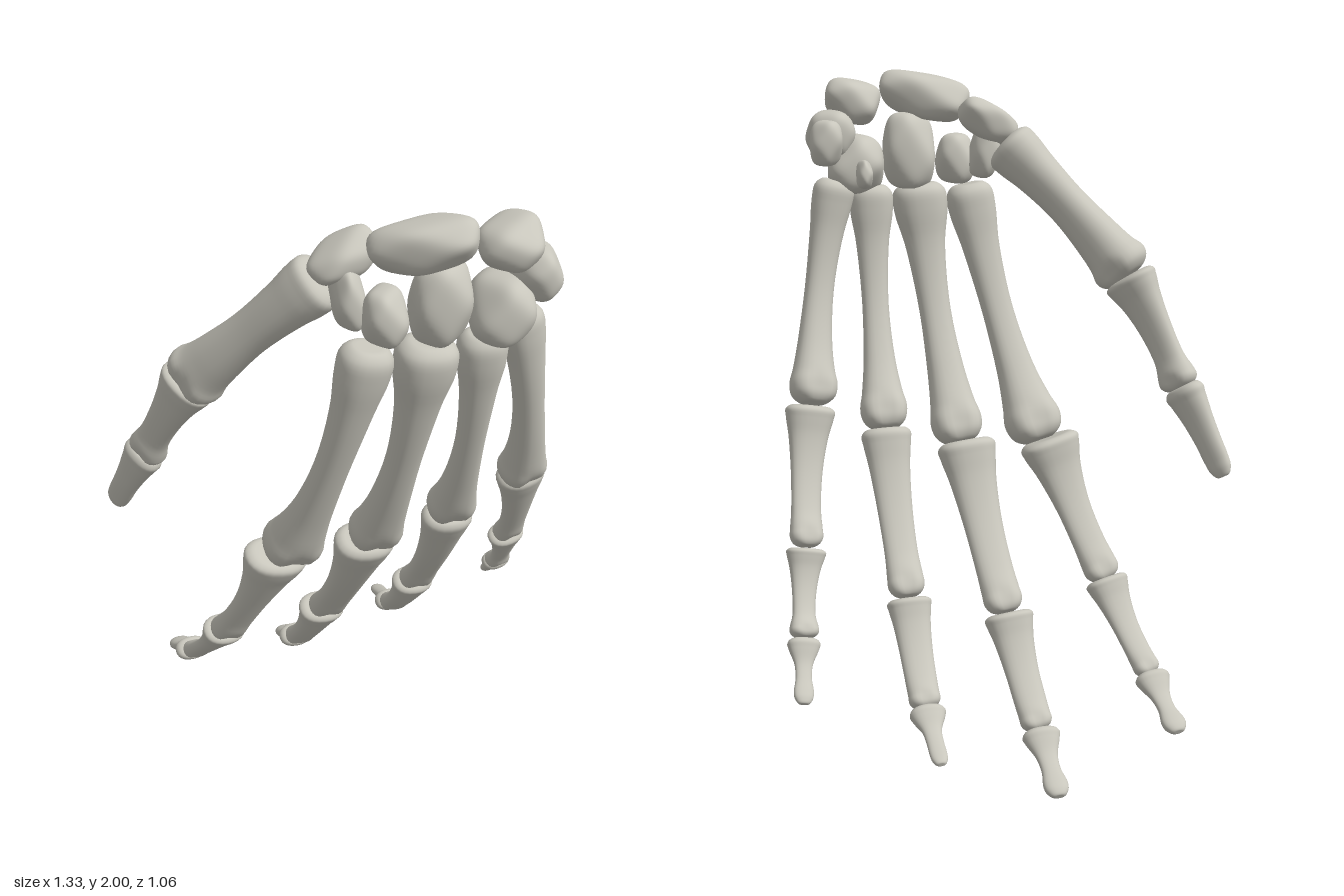
import * as THREE from 'three';
import { mergeVertices } from 'three/addons/utils/BufferGeometryUtils.js';

const boneMat = new THREE.MeshStandardMaterial({ color: 0xc8c6bc });
boneMat.name = 'bone';
const V = (p) => new THREE.Vector3(...p);

// Lengthwise profiles: [t, base share, shaft share, head share] of the widths
const PROFILES = {
  metacarpal: [[0, 0, 0, 0], [0, .6, 0, 0], [.03, .95, 0, 0], [.1, .98, 0, 0], [.23, .35, .67, 0], [.48, 0, 1, 0],
    [.72, 0, .85, .2], [.85, 0, .2, .75], [.92, 0, 0, 1], [.97, 0, 0, .88], [1, 0, 0, .5], [1, 0, 0, 0]],
  phalanx: [[0, 0, 0, 0], [0, .75, 0, 0], [.03, 1, 0, 0], [.09, .97, 0, 0], [.22, .52, .48, 0], [.48, 0, 1.06, 0],
    [.75, 0, 1, 0], [.88, 0, .1, .9], [.94, 0, 0, 1], [.98, 0, 0, .8], [1, 0, 0, .45], [1, 0, 0, 0]],
  tip: [[0, 0, 0, 0], [0, .7, 0, 0], [.06, 1, 0, 0], [.16, .87, .1, 0], [.38, 0, 1.15, 0], [.6, 0, 1, 0],
    [.82, 0, 0, 1], [.93, 0, 0, .85], [1, 0, 0, .4], [1, 0, 0, 0]],
};
// Depth relative to width at base, shaft and head
const DEPTH = { metacarpal: [.9, 1, .95], phalanx: [.76, .7, .8], tip: [.72, .7, .6] };

// Long bone swept from a to b, bowed towards its back, with two condyles at the head
function longBone(name, kind, a, b, widths, side, bow) {
  const A = V(a), B = V(b), rings = 48, sides = 24;
  const axis = B.clone().sub(A).normalize();
  const across = V(side);
  across.addScaledVector(axis, -across.dot(axis)).normalize();
  const back = axis.clone().cross(across);
  const mid = A.clone().add(B).multiplyScalar(.5).addScaledVector(back, bow * 2);
  const path = new THREE.QuadraticBezierCurve3(A, mid, B);
  const profile = new THREE.CatmullRomCurve3(PROFILES[kind].map(([t, ...share]) => {
    let w = 0, d = 0;
    share.forEach((s, i) => { w += s * widths[i] / 2; d += s * widths[i] / 2 * DEPTH[kind][i]; });
    return new THREE.Vector3(t, w, d);
  }));
  const pos = [], idx = [];
  for (let i = 0; i <= rings; i++) {
    const p = profile.getPoint(i / rings);
    const t = THREE.MathUtils.clamp(p.x, 0, 1);
    const c = path.getPoint(t), T = path.getTangent(t);
    const S = across.clone().addScaledVector(T, -across.dot(T)).normalize();
    const N = T.clone().cross(S);
    const groove = kind === 'tip' ? 0 : .22 * THREE.MathUtils.smoothstep(t, .84, .95);
    const waist = Math.sin(Math.PI * t);
    for (let j = 0; j < sides; j++) {
      const ang = j / sides * Math.PI * 2, co = Math.cos(ang), si = Math.sin(ang);
      let d = Math.max(p.z, 0) * Math.sign(si) * Math.abs(si) ** .88;
      d *= 1 - groove * Math.exp(-((co / .4) ** 2));
      if (si < 0) d *= 1 - .2 * waist; // flatter palm side
      const w = Math.max(p.y, 0) * Math.sign(co) * Math.abs(co) ** .88;
      const v = c.clone().addScaledVector(S, w).addScaledVector(N, d);
      pos.push(v.x, v.y, v.z);
      if (i < rings) {
        const q = i * sides + j, r = i * sides + (j + 1) % sides;
        idx.push(q, r, q + sides, r, r + sides, q + sides);
      }
    }
  }
  const g = new THREE.BufferGeometry();
  g.setAttribute('position', new THREE.Float32BufferAttribute(pos, 3));
  g.setIndex(idx);
  g.computeVertexNormals();
  const mesh = new THREE.Mesh(g, boneMat);
  mesh.name = name;
  return mesh;
}

// Wrist bone: a block with unevenly cut corners and softened edges, tapered along y
function wristBone(name, center, size, rot = [0, 0, 0], taper = 0, seed = 0) {
  const planes = [];
  for (const s of [-1, 1]) {
    planes.push(V([s, 0, 0]), V([0, s, 0]), V([0, 0, s]));
    for (const [y, z] of [[-1, -1], [-1, 1], [1, -1], [1, 1]]) {
      const reach = 1.07 + .13 * Math.sin(seed * 7.3 + planes.length * 2.1);
      planes.push(V([s, y, z]).normalize().divideScalar(reach));
    }
  }
  let g = new THREE.IcosahedronGeometry(1, 9);
  g.deleteAttribute('uv');
  g.deleteAttribute('normal');
  g = mergeVertices(g, 1e-4);
  const p = g.attributes.position, v = new THREE.Vector3();
  for (let i = 0; i < p.count; i++) {
    v.fromBufferAttribute(p, i);
    const sum = planes.reduce((acc, n) => acc + Math.max(0, n.dot(v)) ** 8, 0);
    v.multiplyScalar(sum ** (-1 / 8));
    const k = 1 + taper * v.y;
    p.setXYZ(i, v.x * k * size[0] / 2, v.y * size[1] / 2, v.z * k * size[2] / 2);
  }
  g.computeVertexNormals();
  const mesh = new THREE.Mesh(g, boneMat);
  mesh.name = name;
  mesh.position.set(...center);
  mesh.rotation.set(...rot);
  return mesh;
}

// Each bone: kind, start, end, [base, shaft, head] widths, bow
const M = 'metacarpal', P = 'phalanx', D = 'tip';
const FINGERS = {
  thumb: { side: [.6, -.5, .65], bones: [
    [M, [-.095, 1.79, .275], [-.43, 1.405, .05], [.165, .125, .18], .015],
    [P, [-.425, 1.405, .045], [-.55, 1.09, -.115], [.165, .1, .12], .012],
    [D, [-.55, 1.095, -.115], [-.648, .845, -.24], [.125, .085, .08], .005]] },
  indexFinger: { side: [1, 0, -.1], bones: [
    [M, [-.005, 1.65, .41], [-.185, .87, .165], [.15, .098, .18], .05],
    [P, [-.213, .872, .172], [-.357, .455, -.02], [.19, .105, .112], .022],
    [P, [-.352, .46, -.028], [-.438, .222, -.235], [.135, .08, .082], .014],
    [D, [-.438, .222, -.24], [-.47, .115, -.42], [.108, .055, .075], .005]] },
  middleFinger: { side: [1, 0, -.05], bones: [
    [M, [.15, 1.655, .42], [.07, .88, .165], [.17, .098, .16], .05],
    [P, [.055, .882, .165], [-.012, .418, -.12], [.18, .115, .118], .024],
    [P, [-.015, .418, -.128], [-.06, .132, -.342], [.148, .098, .095], .015],
    [D, [-.062, .13, -.348], [-.075, .013, -.53], [.113, .058, .074], .005]] },
  ringFinger: { side: [1, 0, -.03], bones: [
    [M, [.3, 1.655, .405], [.305, .94, .165], [.135, .082, .145], .05],
    [P, [.305, .937, .168], [.287, .492, -.108], [.152, .102, .11], .024],
    [P, [.287, .487, -.115], [.275, .235, -.33], [.132, .094, .092], .015],
    [D, [.275, .232, -.338], [.267, .155, -.525], [.105, .05, .05], .005]] },
  littleFinger: { side: [1, 0, -.3], bones: [
    [M, [.415, 1.68, .345], [.525, 1.035, .155], [.125, .088, .145], .045],
    [P, [.535, 1.033, .135], [.58, .662, -.068], [.148, .09, .098], .02],
    [P, [.582, .657, -.075], [.61, .442, -.222], [.116, .068, .085], .012],
    [D, [.612, .438, -.228], [.63, .302, -.365], [.095, .047, .058], .004]] },
};

export function createModel() {
  const hand = new THREE.Group();
  hand.name = 'handSkeleton';

  for (const [finger, { side, bones }] of Object.entries(FINGERS)) {
    const group = new THREE.Group();
    group.name = finger;
    bones.forEach(([kind, a, b, widths, bow], i) =>
      group.add(longBone(`${finger}Bone${i + 1}`, kind, a, b, widths, side, bow)));
    hand.add(group);
  }

  const wrist = new THREE.Group();
  wrist.name = 'wrist';
  wrist.add(
    // Upper row
    wristBone('scaphoid', [.127, 1.92, .425], [.275, .135, .15], [0, -.4, .18], .08, 1),
    wristBone('lunate', [.35, 1.908, .43], [.165, .13, .19], [0, -.2, .25], .05, 2),
    wristBone('triquetrum', [.425, 1.81, .39], [.125, .15, .18], [0, .3, -.1], .08, 3),
    wristBone('pisiform', [.45, 1.8, .26], [.095, .135, .11], [0, 0, 0], 0, 4),
    // Lower row
    wristBone('hamate', [.345, 1.722, .395], [.17, .18, .215], [0, -.1, .08], -.06, 5),
    wristBone('hamateHook', [.335, 1.7, .3], [.05, .085, .14], [.2, 0, 0], 0, 6),
    wristBone('capitate', [.18, 1.757, .41], [.16, .235, .165], [0, 0, .05], -.03, 7),
    wristBone('trapezoid', [.035, 1.73, .41], [.115, .155, .145], [0, 0, .05], -.08, 8),
    wristBone('trapezium', [-.045, 1.85, .3], [.19, .105, .13], [0, .2, .55], .1, 9),
    wristBone('trapeziumBase', [-.045, 1.76, .335], [.085, .17, .14], [0, 0, .1], -.1, 10),
  );
  hand.add(wrist);
  return hand;
}
